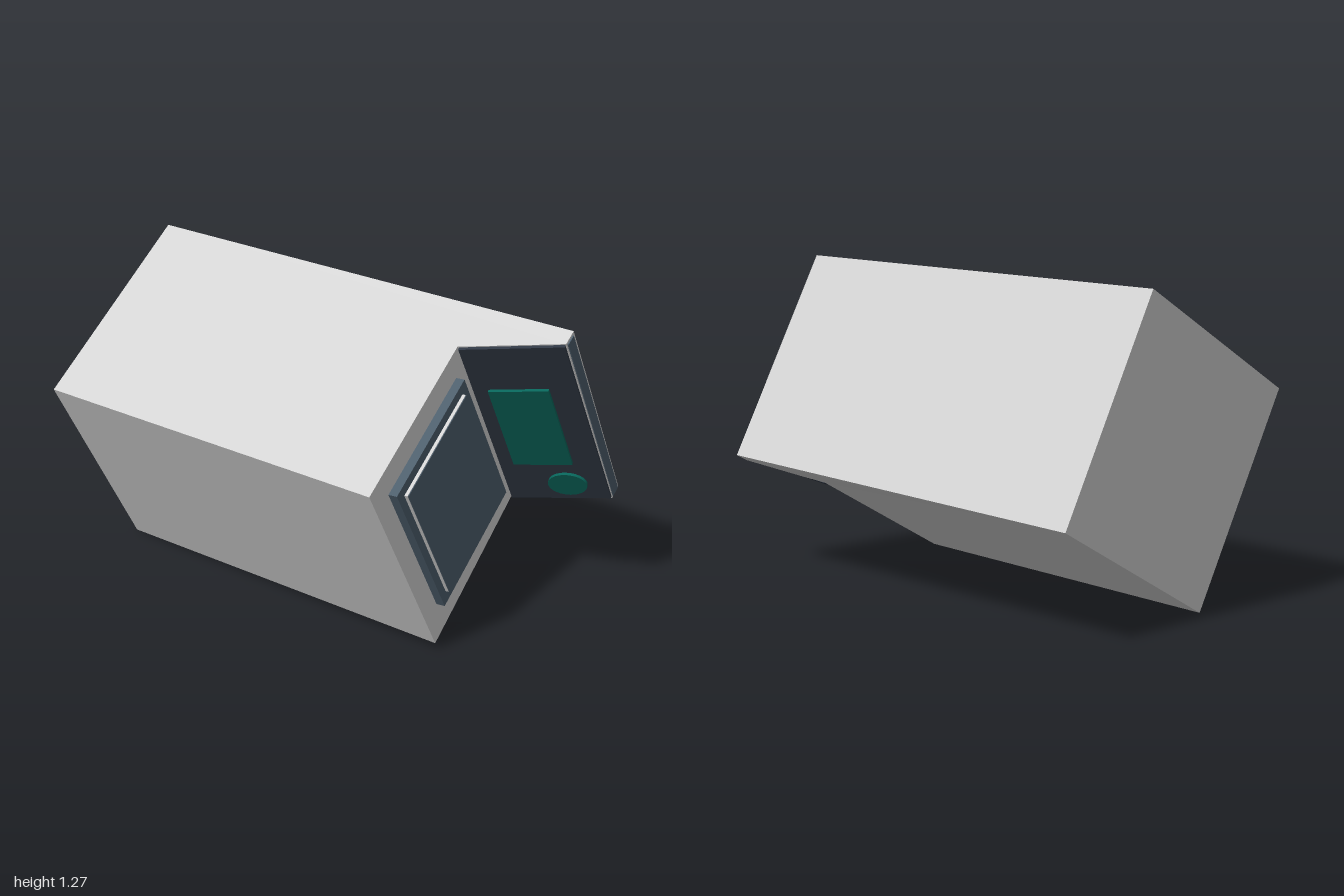
import * as THREE from 'three';

const mat = (name, color) => {
  const m = new THREE.MeshStandardMaterial({ color });
  m.name = name;
  return m;
};
const v = (p) => new THREE.Vector3(...p);

// Cross-section of the tilted housing at its upper and lower ends:
// back outer, back inner, front inner, notch, lip inner, lip outer
const upper = [[0.13, 1.243, -0.97], [-0.675, 0.815, -0.815], [-0.59, 0.84, 0.735],
  [0.056, 1.168, 0.61], [0.192, 1.244, 0.995], [0.243, 1.277, 0.99]].map(v);
const lower = [[0.555, 0.43, -1.0], [-0.243, 0.003, -0.84], [-0.157, 0.032, 0.71],
  [0.478, 0.382, 0.587], [0.617, 0.443, 0.967], [0.67, 0.471, 0.957]].map(v);

function housingGeometry() {
  const pts = [];
  const tri = (...c) => c.forEach((p) => pts.push(p.x, p.y, p.z));
  const n = upper.length;
  for (let i = 0; i < n; i++) {
    const j = (i + 1) % n;
    tri(upper[i], lower[i], upper[j]);
    tri(lower[i], lower[j], upper[j]);
  }
  for (let i = 1; i < n - 1; i++) {
    tri(upper[0], upper[i], upper[i + 1]);
    tri(lower[0], lower[i + 1], lower[i]);
  }
  const g = new THREE.BufferGeometry();
  g.setAttribute('position', new THREE.Float32BufferAttribute(pts, 3));
  g.computeVertexNormals();
  return g;
}

// Frame lying on the side face between profile points i and i + 1
function faceFrame(i) {
  const across = upper[i + 1].clone().sub(upper[i]);
  const along = lower[i].clone().sub(upper[i]).add(lower[i + 1]).sub(upper[i + 1]).multiplyScalar(0.5);
  const normal = along.clone().cross(across).normalize();
  return new THREE.Matrix4().makeBasis(along, across, normal).setPosition(upper[i]);
}

// Fits a unit geometry to a patch of a face: s across, t along, d outwards
function onFace(name, geometry, material, frame, [s0, s1], [t0, t1], [d0, d1]) {
  geometry.scale(t1 - t0, s1 - s0, d1 - d0);
  geometry.translate((t0 + t1) / 2, (s0 + s1) / 2, (d0 + d1) / 2);
  geometry.applyMatrix4(frame);
  const mesh = new THREE.Mesh(geometry, material);
  mesh.name = name;
  return mesh;
}

export function createModel() {
  const group = new THREE.Group();
  group.name = 'monitor';
  const casing = mat('casing grey', 0xd4d4d4);
  const blue = mat('screen slate blue', 0x4e5f6d);
  const dark = mat('panel charcoal', 0x303844);
  const green = mat('control green', 0x08655a);
  const box = () => new THREE.BoxGeometry(1, 1, 1);

  const housing = new THREE.Mesh(housingGeometry(), casing);
  housing.name = 'housing';
  group.add(housing);

  // Raised screen with a thin inner rim and glass
  const front = faceFrame(2);
  group.add(onFace('screenFrame', box(), blue, front, [0.125, 0.905], [0.11, 0.862], [-0.03, 0.035]));
  group.add(onFace('screenRim', box(), casing, front, [0.175, 0.85], [0.153, 0.808], [0.03, 0.048]));
  group.add(onFace('screenGlass', box(), blue, front, [0.177, 0.848], [0.155, 0.806], [0.048, 0.051]));

  // Control panel under the overhanging lip
  const slope = faceFrame(3);
  group.add(onFace('controlPanel', box(), dark, slope, [0.01, 0.99], [0.005, 0.995], [-0.01, 0.012]));
  group.add(onFace('displayWindow', box(), green, slope, [0.16, 0.73], [0.258, 0.744], [0.01, 0.024]));
  const knob = new THREE.CylinderGeometry(0.5, 0.5, 1, 24).rotateX(Math.PI / 2);
  group.add(onFace('knob', knob, green, slope, [0.43, 0.81], [0.815, 0.955], [0.01, 0.024]));

  // Trim strip along the lip
  group.add(onFace('lipTrim', box(), blue, faceFrame(4), [0.1, 0.8], [0.01, 0.99], [-0.004, 0.005]));
  return group;
}
